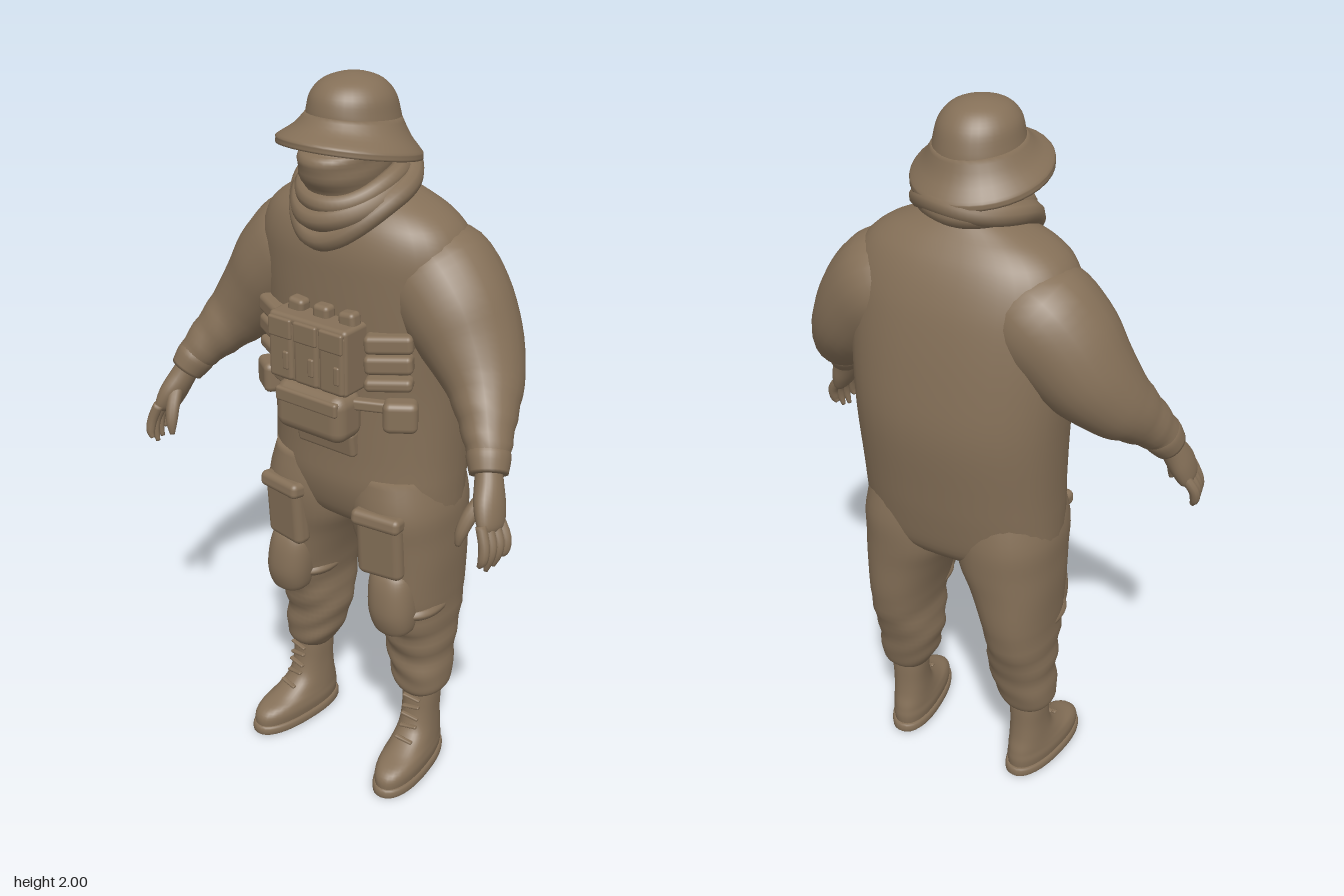
import * as THREE from 'three';
import { RoundedBoxGeometry } from 'three/addons/geometries/RoundedBoxGeometry.js';

const cloth = new THREE.MeshStandardMaterial({ color: 0x857058 });
cloth.name = 'drab brown';

const N = 36;

// Smoothly resample rows of numbers
function resample(rows, k) {
  const out = [], at = i => rows[Math.max(0, Math.min(rows.length - 1, i))];
  for (let i = 0; i < rows.length - 1; i++) {
    for (let j = 0; j < k; j++) {
      const t = j / k, a = at(i - 1), b = at(i), c = at(i + 1), d = at(i + 2);
      out.push(b.map((p, n) => {
        const cubic = 3 * (p - c[n]) + d[n] - a[n];
        const square = 2 * a[n] - 5 * p + 4 * c[n] - d[n];
        return p + 0.5 * t * (c[n] - a[n] + t * (square + t * cubic));
      }));
    }
  }
  out.push(rows[rows.length - 1]);
  return out;
}

// Skin a list of closed point rings, with end caps
function skin(rings) {
  const pos = [], idx = [], n = rings[0].length, m = rings.length;
  rings.forEach(r => r.forEach(p => pos.push(p.x, p.y, p.z)));
  [rings[0], rings[m - 1]].forEach(r => {
    const c = r.reduce((s, p) => s.add(p), new THREE.Vector3()).divideScalar(n);
    pos.push(c.x, c.y, c.z);
  });
  for (let i = 0; i < m - 1; i++) {
    for (let j = 0; j < n; j++) {
      const a = i * n + j, b = i * n + (j + 1) % n;
      idx.push(a, b, a + n, b, b + n, a + n);
    }
  }
  for (let j = 0; j < n; j++) {
    const k = (j + 1) % n, top = (m - 1) * n;
    idx.push(m * n, k, j, m * n + 1, top + j, top + k);
  }
  const g = new THREE.BufferGeometry();
  g.setAttribute('position', new THREE.Float32BufferAttribute(pos, 3));
  g.setIndex(idx);
  g.computeVertexNormals();
  return g;
}

const spow = (v, e) => Math.sign(v) * Math.pow(Math.abs(v), e);

// Horizontal rings: [y, centre x, half width, front z, back z, tilt]
function loft(rows, { side = 1, k = 4, exp = 2.3, fold = () => 0 } = {}) {
  return skin(resample(rows, k).map(([y, cx, hw, zf, zb, tilt = 0]) =>
    Array.from({ length: N }, (_, j) => {
      const a = j / N * Math.PI * 2, f = 1 + fold(y, a * side);
      const s = spow(Math.sin(a), 2 / exp), c = spow(Math.cos(a), 2 / exp);
      return new THREE.Vector3(cx * side + hw * f * s, y + tilt * c, (zf + zb) / 2 + (zf - zb) / 2 * f * c);
    })));
}

// Tapered limb along a path: [x, y, z, radius across, radius in depth]
function limb(rows, side, { n = 24, fold = () => 0 } = {}) {
  const pts = resample(rows, 4), P = pts.map(p => new THREE.Vector3(p[0] * side, p[1], p[2]));
  return skin(pts.map((p, i) => {
    const t = P[Math.min(i + 1, P.length - 1)].clone().sub(P[Math.max(i - 1, 0)]).normalize();
    const u = new THREE.Vector3(t.y, -t.x, 0).normalize(), v = u.clone().cross(t);
    return Array.from({ length: n }, (_, j) => {
      const a = j / n * Math.PI * 2, f = 1 + fold(i / (P.length - 1), a);
      return P[i].clone().addScaledVector(u, p[3] * f * Math.sin(a)).addScaledVector(v, p[4] * f * Math.cos(a));
    });
  }));
}

export function createModel() {
  const model = new THREE.Group();
  model.name = 'soldier';
  const add = (name, geo, x = 0, y = 0, z = 0, rx = 0, ry = 0, rz = 0, parent = model) => {
    const m = new THREE.Mesh(geo, cloth);
    m.name = name;
    m.position.set(x, y, z);
    m.rotation.set(rx, ry, rz);
    parent.add(m);
  };
  const box = (name, w, h, d, r, ...at) => add(name, new RoundedBoxGeometry(w, h, d, 3, r), ...at);

  // Loose tunic
  add('tunic', loft([
    [0.79, 0, 0.25, 0.08, -0.18], [0.83, 0, 0.28, 0.12, -0.21], [0.92, 0, 0.284, 0.145, -0.23],
    [1.02, 0, 0.285, 0.145, -0.245], [1.2, 0, 0.293, 0.145, -0.265], [1.36, 0, 0.305, 0.15, -0.253],
    [1.5, 0, 0.31, 0.152, -0.23], [1.58, 0, 0.303, 0.15, -0.207], [1.64, 0, 0.277, 0.135, -0.18],
    [1.68, 0, 0.23, 0.11, -0.152], [1.71, 0, 0.165, 0.08, -0.125], [1.74, 0, 0.09, 0.06, -0.1],
  ]));

  // Head with face wrap
  add('head', loft([
    [1.6, 0, 0.07, 0.1, -0.08], [1.67, 0, 0.09, 0.155, -0.08], [1.73, 0, 0.097, 0.17, -0.085],
    [1.78, 0, 0.1, 0.198, -0.09], [1.82, 0, 0.101, 0.197, -0.09], [1.835, 0, 0.1, 0.175, -0.09],
    [1.87, 0, 0.1, 0.165, -0.09], [1.92, 0, 0.095, 0.14, -0.08],
  ], { exp: 2.1, fold: (y, a) => y < 1.82 ? 0.02 * Math.sin(y * 110 + 3 * Math.cos(a)) : 0 }));

  // Draped neck scarf
  [[0.14, 1.735, 0.1, 0.02, 0.138, 0.03], [0.125, 1.735, 0.06, 0.027, 0.14, 0.03],
    [0.115, 1.755, 0.045, 0.03, 0.13, 0.026]].forEach(([rx, y, drop, cz, rz, r], i) => {
    const pts = Array.from({ length: 20 }, (_, j) => {
      const a = j / 20 * Math.PI * 2, c = Math.cos(a);
      const sag = drop * (0.4 * c + 0.8 * Math.max(0, c) ** 2);
      return new THREE.Vector3(rx * Math.sin(a), y - sag + 0.006 * Math.sin(3 * a + i), cz + rz * c);
    });
    add('scarfFold', new THREE.TubeGeometry(new THREE.CatmullRomCurve3(pts, true), 60, r, 10, true));
  });

  // Brimmed hat
  add('hatCrown', loft([
    [1.88, 0, 0.116, 0.155, -0.1, 0.014], [1.91, 0, 0.11, 0.153, -0.095, 0.012], [1.95, 0, 0.1, 0.142, -0.08, 0.006],
    [1.98, 0, 0.075, 0.115, -0.05, 0.002], [1.995, 0, 0.04, 0.075, -0.01, 0], [2, 0, 0.008, 0.04, 0.024, 0],
  ], { exp: 2 }));
  add('hatBrim', loft([
    [1.87, 0, 0.1, 0.14, -0.085, 0.015], [1.815, 0, 0.17, 0.224, -0.136, 0.037], [1.823, 0, 0.176, 0.232, -0.143, 0.038],
    [1.834, 0, 0.172, 0.228, -0.139, 0.038], [1.863, 0, 0.14, 0.185, -0.113, 0.025], [1.9, 0, 0.113, 0.155, -0.097, 0.014],
  ], { exp: 2, k: 3 }));

  // Chest rig: central magazine pouches, belly bag and flap
  box('chestPanel', 0.25, 0.18, 0.1, 0.012, 0, 1.33, 0.175);
  for (let i = -1; i <= 1; i++) {
    box('magazinePouch', 0.078, 0.165, 0.03, 0.012, i * 0.082, 1.325, 0.217);
    box('pouchFlap', 0.074, 0.055, 0.014, 0.006, i * 0.082, 1.385, 0.228);
    box('magazineTop', 0.05, 0.05, 0.04, 0.012, i * 0.082 + 0.01, 1.425, 0.165, 0, 0, 0.1 * i);
    box('pouchTab', 0.018, 0.05, 0.012, 0.005, i * 0.082 + 0.02, 1.3, 0.231);
  }
  box('bellyBag', 0.225, 0.135, 0.11, 0.035, 0, 1.165, 0.18);
  box('bagLid', 0.2, 0.04, 0.02, 0.008, 0, 1.2, 0.227);
  box('bellyFlap', 0.19, 0.075, 0.035, 0.012, 0, 1.07, 0.143, 0.15);

  [-1, 1].forEach(s => {
    // Side pouches and straps of the rig
    [1.375, 1.32, 1.265].forEach((y, i) =>
      box('sidePouch', 0.125, i < 2 ? 0.05 : 0.035, 0.05, 0.014, s * 0.185, y, 0.125, 0, s * 0.45, s * 0.08));
    box('lowerPouch', 0.09, 0.085, 0.06, 0.018, s * 0.215, 1.18, 0.115, 0, s * 0.6);
    box('rigStrap', 0.17, 0.03, 0.03, 0.008, s * 0.17, 1.2, 0.133, 0, s * 0.4);

    // Trouser leg with folds near the ankle
    add('trouserLeg', loft([
      [0.245, 0.2, 0.05, 0.03, -0.085], [0.265, 0.203, 0.07, 0.045, -0.105], [0.3, 0.2, 0.083, 0.055, -0.12],
      [0.35, 0.19, 0.087, 0.055, -0.132], [0.42, 0.185, 0.093, 0.065, -0.15], [0.5, 0.188, 0.09, 0.09, -0.178],
      [0.6, 0.18, 0.1, 0.115, -0.198], [0.7, 0.165, 0.12, 0.125, -0.205], [0.78, 0.147, 0.138, 0.138, -0.212],
      [0.87, 0.143, 0.141, 0.148, -0.215], [0.97, 0.13, 0.13, 0.13, -0.2],
    ], {
      side: s,
      fold: (y, a) => 0.045 * Math.sin(y * 75 + 2 * Math.sin(a) + Math.cos(2 * a))
        * (0.35 + 0.65 * Math.cos(a / 2) ** 2) * THREE.MathUtils.smoothstep(0.62 - y, 0, 0.15),
    }));
    // Cargo pocket and knee pad
    box('cargoPocket', 0.135, 0.18, 0.055, 0.022, s * 0.163, 0.775, 0.122, 0.06, s * 0.15);
    box('pocketFlap', 0.145, 0.045, 0.06, 0.016, s * 0.163, 0.865, 0.137, -0.12, s * 0.15);
    add('kneePad', loft([
      [0.5, 0.187, 0.03, 0.125, 0.06], [0.515, 0.186, 0.056, 0.14, 0.04], [0.57, 0.183, 0.067, 0.155, 0.03],
      [0.64, 0.178, 0.066, 0.15, 0.03], [0.685, 0.175, 0.055, 0.135, 0.05], [0.7, 0.175, 0.03, 0.115, 0.07],
    ], { side: s }));
    add('kneeStrap', loft([
      [0.545, 0.186, 0.09, 0.1, -0.1], [0.56, 0.185, 0.096, 0.11, -0.1], [0.575, 0.184, 0.09, 0.1, -0.1],
    ], { side: s }));

    // Boot, turned slightly outward
    const boot = new THREE.Group();
    boot.name = 'boot';
    boot.position.x = s * 0.207;
    boot.rotation.y = s * 0.13;
    model.add(boot);
    const addToBoot = (name, geo, y = 0, z = 0, rz = 0) => add(name, geo, 0, y, z, 0, 0, rz, boot);
    addToBoot('bootUpper', loft([
      [0.01, 0, 0.056, 0.205, -0.1], [0.05, 0, 0.063, 0.207, -0.105], [0.075, 0, 0.06, 0.185, -0.103],
      [0.095, 0, 0.056, 0.125, -0.1], [0.13, 0, 0.052, 0.065, -0.092], [0.18, 0, 0.05, 0.042, -0.088],
      [0.24, 0, 0.052, 0.034, -0.088], [0.29, 0, 0.05, 0.03, -0.085],
    ]));
    addToBoot('bootSole', loft([
      [0, 0, 0.06, 0.208, -0.107], [0.004, 0, 0.066, 0.215, -0.112],
      [0.022, 0, 0.067, 0.215, -0.112], [0.03, 0, 0.061, 0.208, -0.107],
    ], { k: 2 }));
    [0.082, 0.055, 0.046, 0.04, 0.037].forEach((z, i) =>
      addToBoot('lace', new RoundedBoxGeometry(0.055, 0.009, 0.014, 2, 0.004), 0.12 + i * 0.03, z, i % 2 ? 0.15 : -0.15));

    // Draped sleeve from shoulder to wrist
    add('sleeve', limb([
      [0.13, 1.56, -0.045, 0.1, 0.12], [0.2, 1.515, -0.045, 0.15, 0.155], [0.27, 1.45, -0.035, 0.147, 0.155],
      [0.335, 1.37, -0.02, 0.125, 0.14], [0.395, 1.295, 0.015, 0.098, 0.112], [0.44, 1.235, 0.065, 0.075, 0.082],
      [0.48, 1.175, 0.115, 0.056, 0.06], [0.497, 1.14, 0.135, 0.046, 0.052],
    ], s, { fold: (t, a) => 0.035 * Math.sin(t * 55 + 2 * Math.sin(a)) * THREE.MathUtils.smoothstep(t, 0.55, 0.8) }));

    // Gloved hand
    add('gloveCuff', limb([
      [0.481, 1.175, 0.117, 0.05, 0.054], [0.49, 1.155, 0.128, 0.054, 0.058], [0.505, 1.122, 0.148, 0.046, 0.05],
    ], s));
    add('palm', limb([
      [0.495, 1.15, 0.135, 0.03, 0.035], [0.512, 1.105, 0.156, 0.034, 0.04], [0.53, 1.06, 0.178, 0.033, 0.05],
      [0.545, 1.02, 0.193, 0.026, 0.048], [0.549, 1.005, 0.198, 0.018, 0.04],
    ], s));
    [0.935, 0.915, 0.91, 0.93].forEach((y, i) => {
      const z = 0.16 + i * 0.024, x = 0.555 + 0.005 * (1.5 - i);
      add('finger', limb([
        [0.542, 1.03, z, 0.015, 0.014], [x + 0.012, 0.985, z + 0.01, 0.015, 0.014],
        [x + 0.015, 0.95, z + 0.018, 0.013, 0.012], [x + 0.006, y, z + 0.02, 0.006, 0.006],
      ], s, { n: 10 }));
    });
    add('thumb', limb([
      [0.515, 1.08, 0.18, 0.02, 0.02], [0.5, 1.04, 0.215, 0.02, 0.019],
      [0.489, 0.995, 0.236, 0.016, 0.016], [0.484, 0.96, 0.242, 0.007, 0.007],
    ], s, { n: 12 }));
  });

  return model;
}
